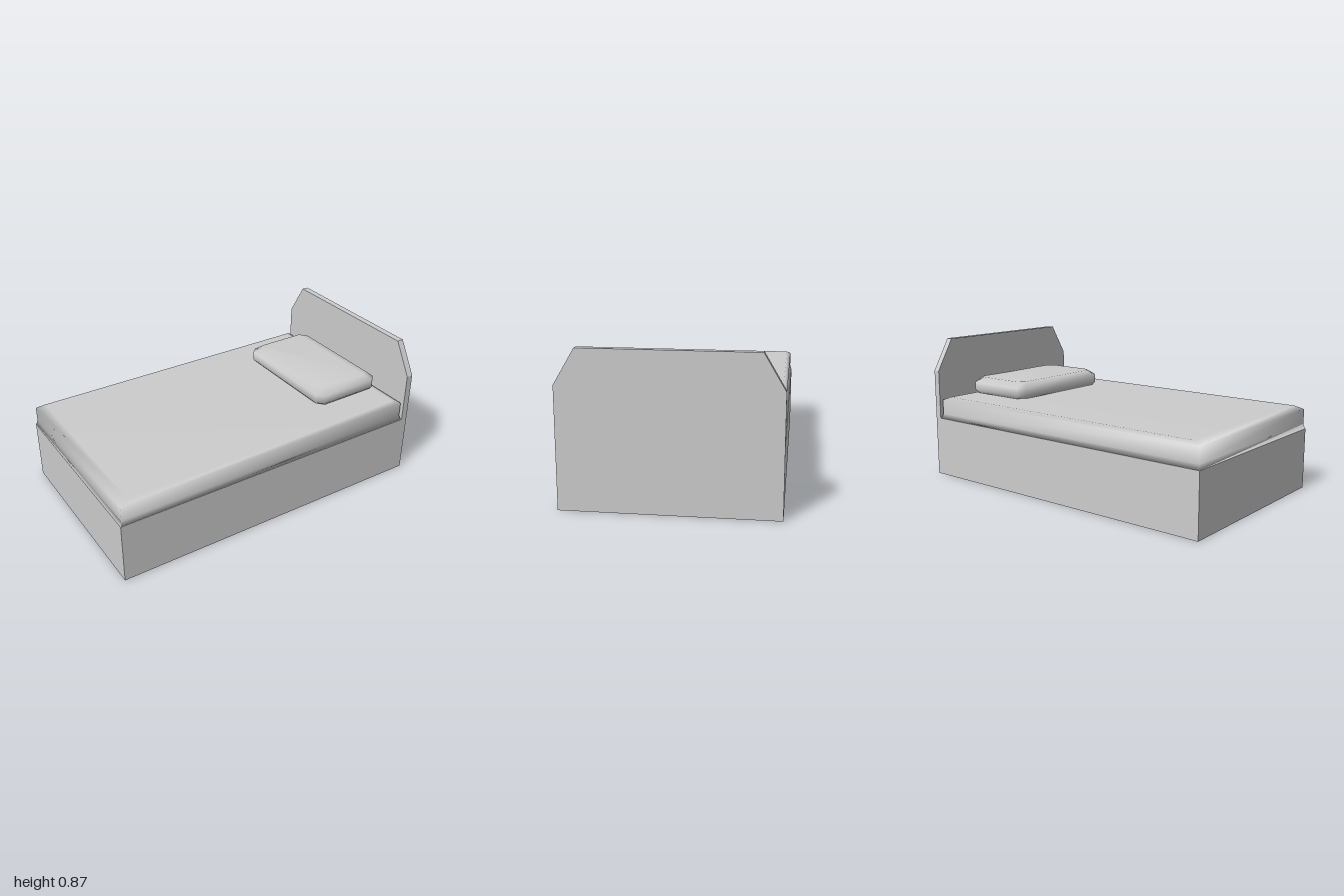
import * as THREE from 'three';

// Closed solid lofted upward through rectangular rings {y, x0, x1, z0, z1, cut}
function loft(rings) {
  const pos = [], idx = [];
  const outline = ({ x0, x1, z0, z1, cut: c }) => c
    ? [[x1 - c, z1], [x1, z1 - c], [x1, z0 + c], [x1 - c, z0],
       [x0 + c, z0], [x0, z0 + c], [x0, z1 - c], [x0 + c, z1]]
    : [[x1, z1], [x1, z0], [x0, z0], [x0, z1]];
  let n = 0;
  for (const r of rings) {
    const pts = outline(r);
    n = pts.length;
    for (const [x, z] of pts) pos.push(x, r.y, z);
  }
  for (let k = 0; k < rings.length - 1; k++) {
    for (let i = 0; i < n; i++) {
      const a = k * n + i, b = k * n + (i + 1) % n;
      idx.push(a, b, b + n, a, b + n, a + n);
    }
  }
  const top = (rings.length - 1) * n;
  for (let i = 1; i < n - 1; i++) {
    idx.push(0, i + 1, i);
    idx.push(top, top + i, top + i + 1);
  }
  const geo = new THREE.BufferGeometry();
  geo.setAttribute('position', new THREE.Float32BufferAttribute(pos, 3));
  geo.setIndex(idx);
  geo.computeVertexNormals();
  return geo;
}

export function createModel() {
  const bed = new THREE.Group();
  bed.name = 'bed';
  const grey = new THREE.MeshStandardMaterial({ color: 0xcccccc });
  grey.name = 'light grey';

  const add = (name, geo) => {
    const mesh = new THREE.Mesh(geo, grey);
    mesh.name = name;
    bed.add(mesh);
    return mesh;
  };

  // Solid box base
  add('bedBase', new THREE.BoxGeometry(1.96, 0.37, 1.18)).position.set(-0.02, 0.185, 0);

  // Headboard panel with clipped upper corners
  const panel = new THREE.Shape([
    [-0.59, 0], [0.59, 0], [0.59, 0.675], [0.475, 0.87], [-0.475, 0.87], [-0.59, 0.675],
  ].map(([x, y]) => new THREE.Vector2(x, y)));
  const board = new THREE.ExtrudeGeometry(panel, { depth: 0.04, bevelEnabled: false });
  add('headboard', board.rotateY(Math.PI / 2)).position.x = 0.96;

  // Mattress with a flared lower hem and softened top edge
  add('mattress', loft([
    { y: 0.37, x0: -0.998, x1: 0.955, z0: -0.588, z1: 0.588 },
    { y: 0.4, x0: -0.99, x1: 0.943, z0: -0.58, z1: 0.58 },
    { y: 0.49, x0: -0.99, x1: 0.943, z0: -0.58, z1: 0.58 },
    { y: 0.51, x0: -0.935, x1: 0.895, z0: -0.555, z1: 0.555 },
  ]));

  // Pillow with rounded rims and clipped corners
  const ring = (y, inset) => ({
    y, x0: 0.453 + inset, x1: 0.91 - inset, z0: -0.366 + inset, z1: 0.386 - inset, cut: 0.04,
  });
  add('pillow', loft([
    ring(0.508, 0.022), ring(0.533, 0), ring(0.582, 0), ring(0.616, 0.04),
  ]));

  return bed;
}
